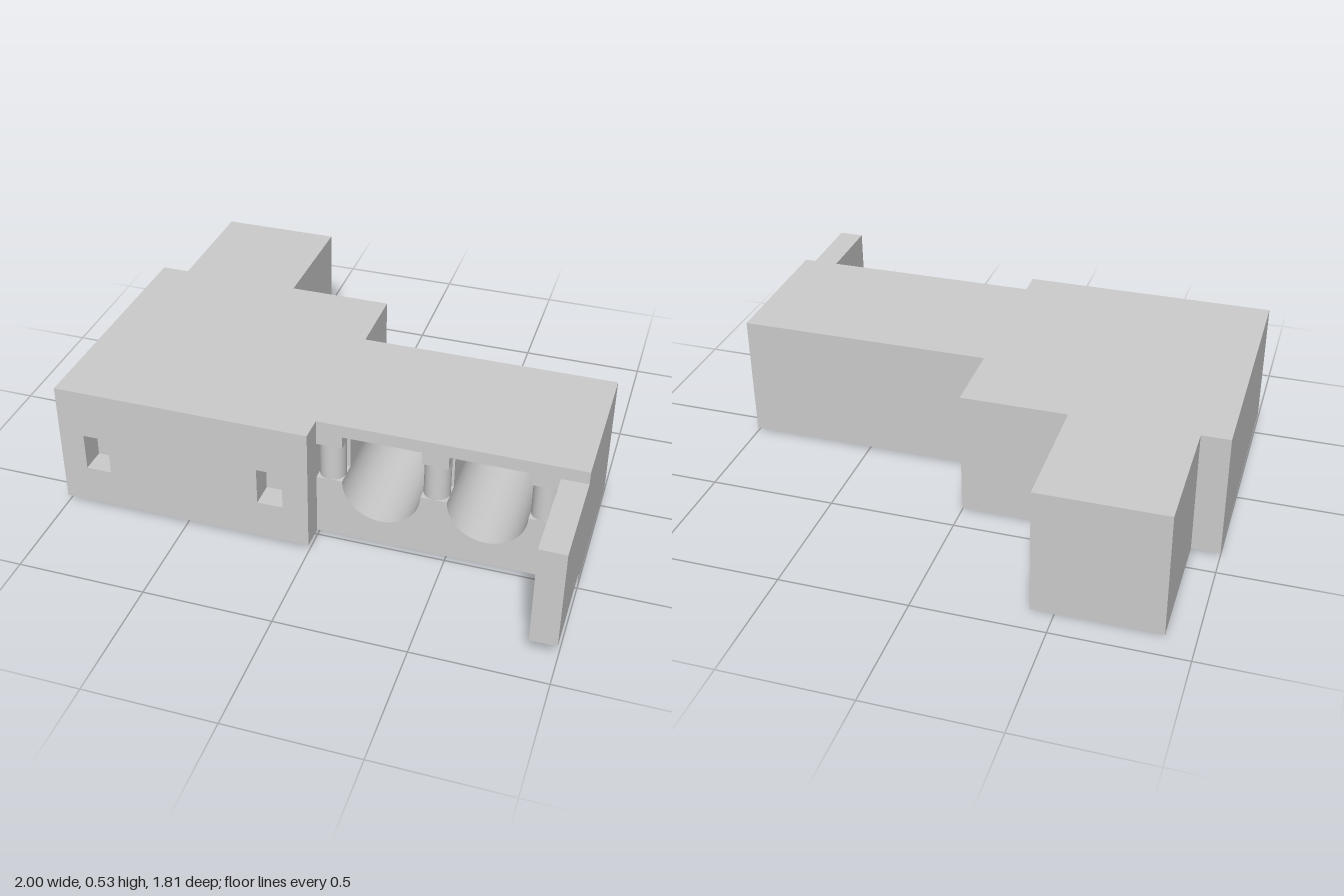
import * as THREE from 'three';

export function createModel() {
  const model = new THREE.Group();
  const body = new THREE.Group();
  body.name = 'building';
  model.add(body);
  const grey = new THREE.MeshStandardMaterial({ color: 0xcccccc });
  grey.name = 'pale grey';

  const add = (name, geometry, x = 0, y = 0, z = 0) => {
    const mesh = new THREE.Mesh(geometry, grey);
    mesh.name = name;
    mesh.position.set(x, y, z);
    body.add(mesh);
    return mesh;
  };
  // Box given by its limits on each axis
  const block = (name, x0, x1, y0, y1, z0, z1) =>
    add(name, new THREE.BoxGeometry(x1 - x0, y1 - y0, z1 - z0),
      (x0 + x1) / 2, (y0 + y1) / 2, (z0 + z1) / 2);
  const rect = (path, x0, x1, y0, y1) => {
    path.moveTo(x0, y0);
    path.lineTo(x1, y0);
    path.lineTo(x1, y1);
    path.lineTo(x0, y1);
    path.closePath();
    return path;
  };
  // Wall slab with openings, between two depths
  const wall = (name, x0, x1, holes, z0, z1) => {
    const shape = rect(new THREE.Shape(), x0, x1, 0, 0.5);
    shape.holes.push(...holes);
    add(name, new THREE.ExtrudeGeometry(shape,
      { depth: z1 - z0, bevelEnabled: false, curveSegments: 20 }), 0, 0, z0);
  };

  // Main hall with two recessed windows
  block('mainHall', -1, 0, 0, 0.5, -0.4, 0.5);
  const windows = [-0.9, -0.2].map(x => rect(new THREE.Path(), x, x + 0.1, 0.155, 0.305));
  wall('windowWall', -1, 0, windows, 0.5, 0.6);

  // Rear annex
  block('rearAnnex', -0.89, -0.41, 0, 0.5, -0.9, -0.4);

  // Side wing: solid back, two round-bottomed bays, front with column niches
  block('wingBack', 0, 1, 0, 0.5, -0.1, 0);
  const bays = [0.1, 0.5].map(x => {
    const p = new THREE.Path();
    p.moveTo(x, 0.45);
    p.lineTo(x, 0.25);
    p.absarc(x + 0.15, 0.25, 0.15, Math.PI, Math.PI * 2, false);
    p.lineTo(x + 0.3, 0.45);
    p.closePath();
    return p;
  });
  wall('bayWall', 0, 1, bays, 0, 0.4);

  const opening = new THREE.Path();
  opening.moveTo(0, 0.25);
  for (const x of [0.1, 0.5]) {
    opening.lineTo(x, 0.25);
    opening.absarc(x + 0.15, 0.25, 0.15, Math.PI, Math.PI * 2, false);
  }
  opening.lineTo(0.9, 0.25);
  opening.lineTo(0.9, 0.4);
  for (const x of [0.5, 0.1]) {
    opening.lineTo(x + 0.3, 0.4);
    opening.lineTo(x + 0.3, 0.45);
    opening.lineTo(x, 0.45);
    opening.lineTo(x, 0.4);
  }
  opening.lineTo(0, 0.4);
  opening.closePath();
  wall('wingFront', -0.05, 1, [opening], 0.4, 0.5);

  // Round columns standing in the niches
  for (const x of [0.05, 0.45, 0.85]) {
    add('column', new THREE.CylinderGeometry(0.05, 0.05, 0.15, 32), x, 0.325, 0.45);
  }

  // Projecting side wall
  block('sideArm', 0.9, 1, 0.05, 0.45, 0.5, 0.9);

  // The whole body leans back slightly
  body.rotation.x = -0.02;
  body.position.set(0, 0.023, 0.005);
  return model;
}
